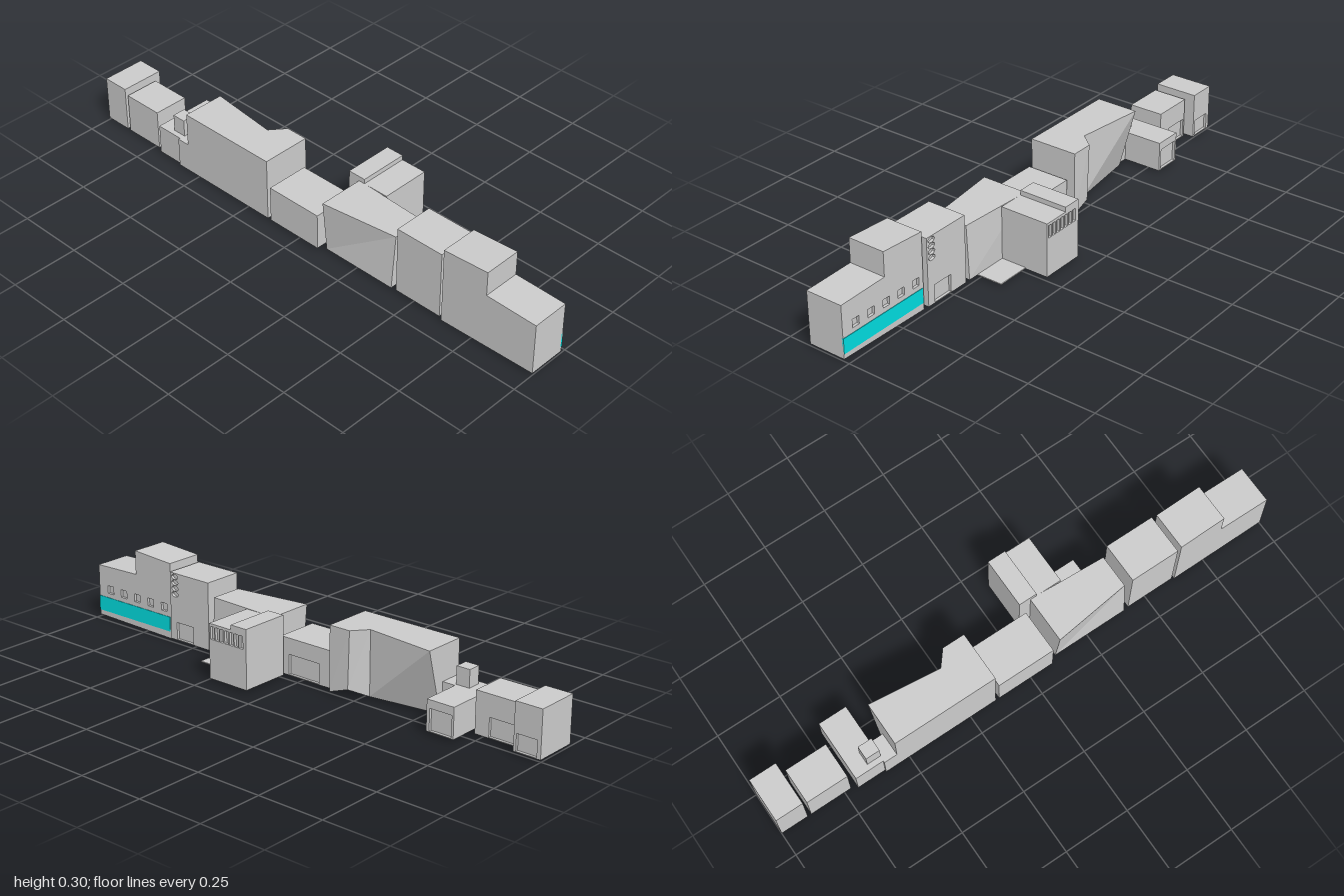
import * as THREE from 'three';
import { mergeGeometries } from 'three/addons/utils/BufferGeometryUtils.js';

const grey = new THREE.MeshStandardMaterial({ color: 0xcccccc, flatShading: true });
const cyan = new THREE.MeshStandardMaterial({ color: 0x00dde0, flatShading: true });
const RECESS = 0.01;

function mesh(name, geometry, material = grey) {
  const m = new THREE.Mesh(geometry, material);
  m.name = name;
  return m;
}

// Box from its limits
function block(name, x0, x1, y0, y1, z0, z1, material) {
  const g = new THREE.BoxGeometry(x1 - x0, y1 - y0, z1 - z0);
  g.translate((x0 + x1) / 2, (y0 + y1) / 2, (z0 + z1) / 2);
  return mesh(name, g, material);
}

// Side profile in [z, y], extruded across x
function slab(profile, x0, x1, holes = []) {
  const shape = new THREE.Shape(profile.map(([z, y]) => new THREE.Vector2(-z, y)));
  shape.holes.push(...holes);
  const g = new THREE.ExtrudeGeometry(shape, { depth: x1 - x0, bevelEnabled: false, curveSegments: 6 });
  g.rotateY(Math.PI / 2);
  g.translate(x0, 0, 0);
  return g;
}

const rect = (z0, z1, y0, y1) => [[z1, y0], [z0, y0], [z0, y1], [z1, y1]];

// Recessed openings for the street wall
const opening = (z0, z1, y0, y1) =>
  new THREE.Path(rect(z0, z1, y0, y1).map(([z, y]) => new THREE.Vector2(-z, y)));
function oval(z, y, rz, ry) {
  const p = new THREE.Path();
  p.absellipse(-z, y, rz, ry, 0, Math.PI * 2, true);
  return p;
}

// House: solid core plus a pierced street wall on the +x side
function house(name, profile, x0, x1, holes) {
  return mesh(name, mergeGeometries([
    slab(profile, x0, x1 - RECESS),
    slab(profile, x1 - RECESS, x1, holes),
  ]));
}

// Solid between a bottom and a top outline of [x, y, z] corners
function loft(name, bottom, top) {
  const pos = [];
  const tri = (...corners) => corners.forEach((c) => pos.push(...c));
  bottom.forEach((a, i) => {
    const j = (i + 1) % bottom.length;
    tri(a, bottom[j], top[j]);
    tri(a, top[j], top[i]);
  });
  const flat = top.map(([x, , z]) => new THREE.Vector2(x, -z));
  for (const [a, b, c] of THREE.ShapeUtils.triangulateShape(flat, [])) {
    tri(top[a], top[b], top[c]);
    tri(bottom[a], bottom[c], bottom[b]);
  }
  const g = new THREE.BufferGeometry();
  g.setAttribute('position', new THREE.Float32BufferAttribute(pos, 3));
  g.computeVertexNormals();
  return mesh(name, g);
}

export function createModel() {
  const model = new THREE.Group();
  model.name = 'streetRow';
  const base = 0.008;

  // Stepped shop at the front end, with a coloured shop band
  const shopWindows = [0.94, 0.87, 0.8, 0.73, 0.66].map((z) => opening(z - 0.015, z + 0.015, 0.1, 0.13));
  model.add(house('steppedShop',
    [[1, base], [1, 0.203], [0.803, 0.208], [0.803, 0.299], [0.625, 0.288], [0.625, 0]],
    -0.163, -0.02, shopWindows));
  model.add(block('shopBand', -0.025, -0.018, 0.027, 0.083, 0.63, 1, cyan));

  // Tall house with a door and a column of round windows
  const roundWindows = [0, 1, 2, 3].map((i) => oval(0.592, 0.182 + i * 0.022, 0.016, 0.01));
  model.add(house('tallHouse', rect(0.427, 0.615, base, 0.262), -0.16, -0.009,
    [opening(0.503, 0.585, base + 0.003, 0.076), ...roundWindows]));

  // House with leaning side walls
  model.add(loft('leaningHouse',
    [[-0.163, base, 0.408], [-0.01, base, 0.408], [-0.007, base, 0.115], [-0.163, base, 0.115]],
    [[-0.145, 0.21, 0.408], [-0.02, 0.21, 0.408], [-0.005, 0.21, 0.115], [-0.182, 0.21, 0.115]]));

  // Projecting house with a row of windows, raised rear roof and paved forecourt
  const rowWindows = Array.from({ length: 7 }, (_, i) => opening(0.085 + i * 0.022, 0.102 + i * 0.022, 0.153, 0.2));
  model.add(house('projectingHouse',
    [[0.24, base], [0.24, 0.21], [0.14, 0.21], [0.14, 0.228], [0.07, 0.228], [0.07, base]],
    -0.007, 0.182, rowWindows));
  model.add(block('forecourt', -0.007, 0.092, base, 0.012, 0.24, 0.37));

  // Low house with a wide door
  model.add(house('lowHouse', rect(-0.133, 0.09, base, 0.145), -0.182, -0.018,
    [opening(-0.082, 0.055, base + 0.003, 0.085)]));

  // Large house with an indented, overhanging street wall
  const outline = [[-0.182, -0.147], [0.005, -0.147], [0.005, -0.232], [-0.05, -0.277], [-0.02, -0.545], [-0.182, -0.545]];
  const foot = outline.map(([x, z]) => [x, base, z]);
  foot[2] = [0.003, 0.035, -0.225];
  foot[4][0] = -0.085;
  model.add(loft('indentedHouse', foot, outline.map(([x, z]) => [x, 0.248, z])));

  // Cottage with a rear link and a chimney
  model.add(house('cottage', rect(-0.703, -0.595, base, 0.12), -0.175, 0.055,
    [opening(-0.695, -0.607, base + 0.003, 0.09)]));
  model.add(block('cottageLink', -0.182, -0.095, base, 0.12, -0.595, -0.545));
  model.add(block('chimney', -0.155, -0.105, 0.118, 0.185, -0.645, -0.592));

  // Two end houses
  model.add(house('smallHouse', rect(-0.883, -0.725, base, 0.16), -0.163, -0.03,
    [opening(-0.875, -0.78, base + 0.003, 0.08)]));
  model.add(house('endHouse', rect(-1, -0.897, base, 0.18), -0.163, 0.003,
    [opening(-0.985, -0.907, base + 0.003, 0.072)]));

  return model;
}
